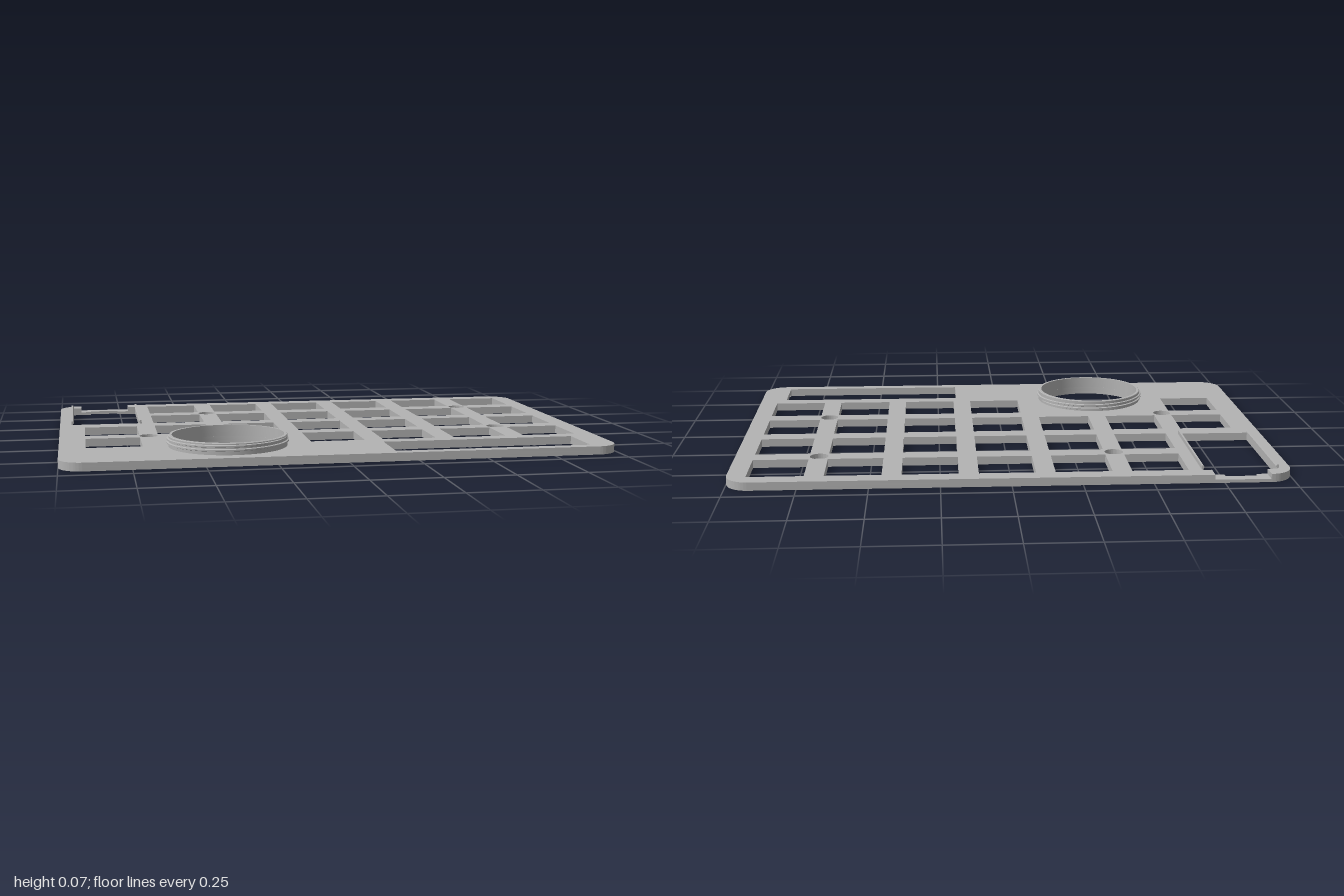
import * as THREE from 'three';
import { toCreasedNormals } from 'three/addons/utils/BufferGeometryUtils.js';

const W = 1, D = 0.685, T = 0.03, FLOOR = 0.012; // half width, half depth, thickness, recess floor
const R = 0.085;                                 // corner radius
const RING = { x: -0.396, z: 0.418 };
const OPEN = { x0: -0.95, x1: -0.685, z0: -0.625, z1: -0.155 };

const grey = new THREE.MeshStandardMaterial({ color: 0xb3b3b3 });
grey.name = 'grey';

// Paths are given as (x, z) and laid flat later, so z is negated here
const polygon = (pts) => new THREE.Path(pts.map(([x, z]) => new THREE.Vector2(x, -z)));
const rect = (x0, x1, z0, z1) => polygon([[x0, z0], [x1, z0], [x1, z1], [x0, z1]]);
const circle = (x, z, r) => new THREE.Path().absarc(x, -z, r, 0, Math.PI * 2, false);

// Rounded outline; extra points may cut into the back edge
function outline(backCut = []) {
  const s = new THREE.Shape();
  s.absarc(W - R, D - R, R, 0, Math.PI / 2, false);
  backCut.forEach(([x, z]) => s.lineTo(x, -z));
  s.absarc(-W + R, D - R, R, Math.PI / 2, Math.PI, false);
  s.absarc(-W + R, -D + R, R, Math.PI, Math.PI * 1.5, false);
  s.absarc(W - R, -D + R, R, Math.PI * 1.5, Math.PI * 2, false);
  s.closePath();
  return s;
}

function mesh(name, geometry) {
  const m = new THREE.Mesh(geometry, grey);
  m.name = name;
  return m;
}

function slab(name, shape, holes, y0, y1) {
  shape.holes.push(...holes);
  const g = new THREE.ExtrudeGeometry(shape, { depth: y1 - y0, bevelEnabled: false, curveSegments: 24 });
  g.rotateX(-Math.PI / 2).translate(0, y0, 0);
  return mesh(name, toCreasedNormals(g, 0.6));
}

// Square key openings on a regular pitch
function keyHoles() {
  const rows = [[1, 2, 3, 4, 5, 6], [1, 2, 3, 4, 5, 6], [0, 1, 2, 3, 4, 5, 6], [0, 3, 4, 5, 6]];
  const half = 0.101, pitch = 0.272;
  return rows.flatMap((cols, row) => cols.map((col) => {
    const x = -0.803 + col * pitch, z = -0.521 + row * pitch;
    return rect(x - half, x + half, z - half, z + half);
  }));
}

const screwHoles = (r) =>
  [[-0.396, -0.385], [0.692, -0.385], [-0.668, 0.16], [0.692, 0.16]].map(([x, z]) => circle(x, z, r));

// Raised helical ridge that climbs round the ring and fades at both ends
function threadGeometry(turns, y0, y1) {
  const steps = 160, pos = [], idx = [];
  for (let i = 0; i <= steps; i++) {
    const t = i / steps, a = t * turns * Math.PI * 2;
    const fade = Math.min(1, t * 16, (1 - t) * 16);
    const y = y0 + (y1 - y0) * t, r0 = 0.212, r1 = r0 + 0.009 * fade;
    for (const [r, dy] of [[r0, -0.0055], [r1, -0.0025], [r1, 0.0025], [r0, 0.0055]]) {
      pos.push(Math.cos(a) * r, y + dy, -Math.sin(a) * r);
    }
    if (i === steps) break;
    for (let j = 0; j < 3; j++) {
      const p = i * 4 + j, q = p + 4;
      idx.push(p, q, p + 1, q, q + 1, p + 1);
    }
  }
  const g = new THREE.BufferGeometry();
  g.setAttribute('position', new THREE.Float32BufferAttribute(pos, 3));
  g.setIndex(idx);
  return toCreasedNormals(g, 0.5);
}

export function createModel() {
  const model = new THREE.Group();
  model.name = 'keyboardPlate';
  const { x0, x1, z0, z1 } = OPEN;

  // Lower layer: connector floor with small notch, bar slot with pockets at both ends
  const screenHole = polygon([[x0, z0], [-0.875, z0], [-0.875, -0.645], [-0.76, -0.645], [-0.76, z0],
    [x1, z0], [x1, z1], [x0, z1]]);
  const barSlot = polygon([[0.173, 0.452], [0.896, 0.452], [0.896, 0.54], [0.935, 0.54], [0.935, 0.625],
    [0.896, 0.625], [0.896, 0.645], [0.173, 0.645], [0.173, 0.625], [0.134, 0.625], [0.134, 0.54], [0.173, 0.54]]);
  model.add(slab('lowerPlate', outline(),
    [...keyHoles(), ...screwHoles(0.017), circle(RING.x, RING.z, 0.203), screenHole, barSlot], 0, FLOOR));

  // Upper layer: recess runs from the back edge into the screen opening; screw holes are counterbored
  const cut = [[-0.715, -D], [-0.715, z0], [x1, z0], [x1, z1], [x0, z1], [x0, z0], [-0.915, z0], [-0.915, -D]];
  model.add(slab('upperPlate', outline(cut),
    [...keyHoles(), ...screwHoles(0.034), circle(RING.x, RING.z, 0.203), rect(0.173, 0.896, 0.452, 0.645)], FLOOR, T));

  // Threaded ring
  const ring = new THREE.Group();
  ring.name = 'threadedRing';
  const profile = [[0.215, T], [0.215, 0.07], [0.213, 0.072], [0.203, 0.072], [0.203, T]]
    .map(([r, y]) => new THREE.Vector2(r, y));
  ring.add(mesh('ringWall', toCreasedNormals(new THREE.LatheGeometry(profile, 72), 0.5)));
  ring.add(mesh('ringThread', threadGeometry(2, 0.037, 0.065)));
  ring.position.set(RING.x, 0, RING.z);
  model.add(ring);

  // Clip rails along both sides of the screen opening, each with a small inward lip
  for (const [name, x, side] of [['leftClipRail', x1, -1], ['rightClipRail', x0, 1]]) {
    const s = new THREE.Shape([[-0.006, T - 0.002], [0.001, T - 0.002], [0.001, 0.035], [0.004, 0.038],
      [0.001, 0.044], [-0.006, 0.044]].map(([u, y]) => new THREE.Vector2(u * side, y)));
    const g = new THREE.ExtrudeGeometry(s, { depth: 0.47, bevelEnabled: false });
    g.translate(x, 0, -0.62);
    model.add(mesh(name, g));
  }
  return model;
}
